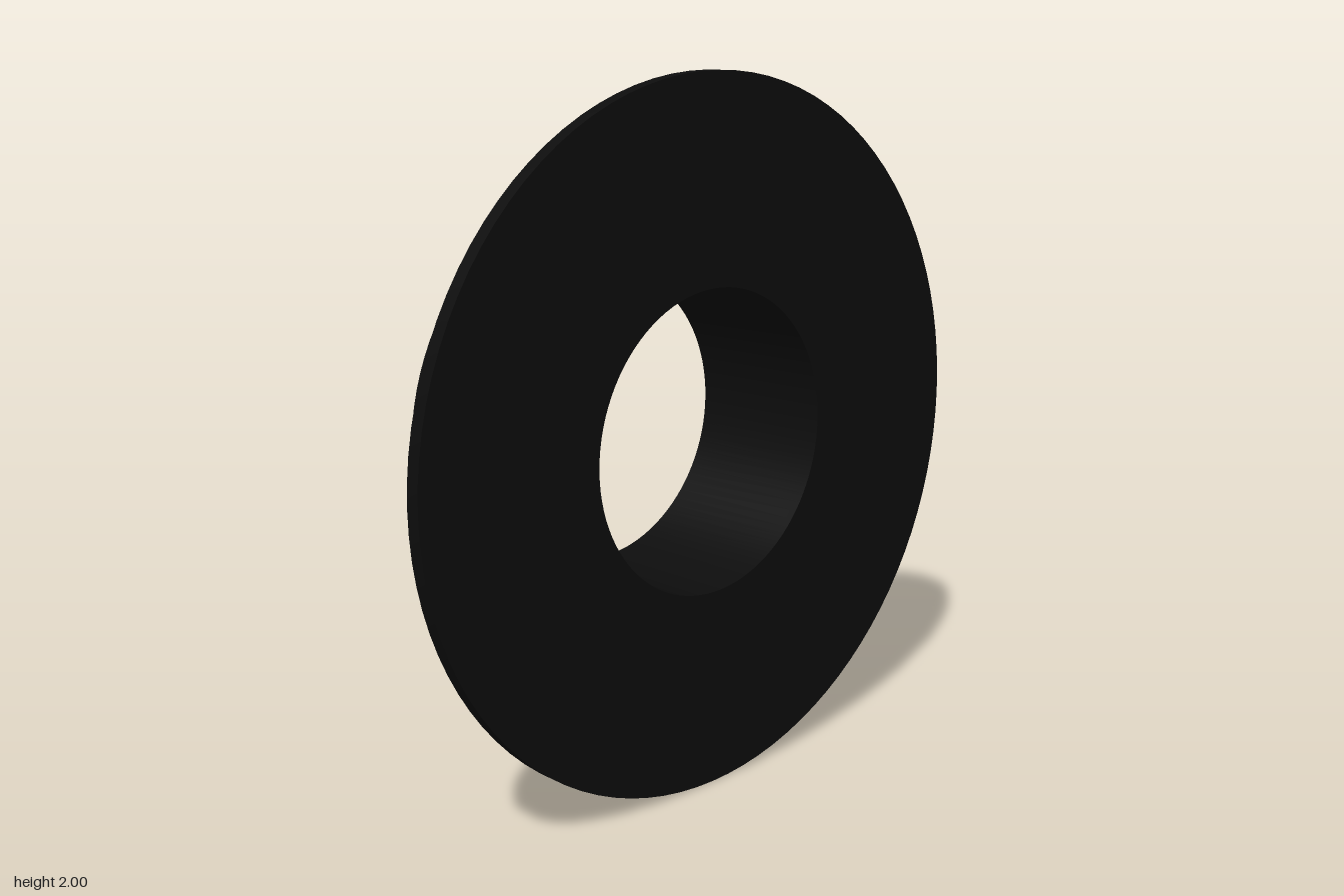
import * as THREE from 'three';
import { toCreasedNormals } from 'three/addons/utils/BufferGeometryUtils.js';

const SEGMENTS = 96;
const BORE = 0.428, BARREL = 0.6, RIM = 0.686, FLANGE = 1;
const FRONT = 0.228, FLANGE_BACK = 0.186, RIM_FRONT = -0.157, BACK = -0.228;

export function createModel() {
  const group = new THREE.Group();
  group.name = 'flangedBushing';
  const black = new THREE.MeshStandardMaterial({ color: 0x0d0d0d });
  black.name = 'black';

  // Revolves a [radius, z] profile around the z axis, keeping its corners sharp
  function addRing(name, profile) {
    const points = profile.map(([r, z]) => new THREE.Vector2(r, z));
    const lathe = new THREE.LatheGeometry(points, SEGMENTS).rotateX(Math.PI / 2);
    const mesh = new THREE.Mesh(toCreasedNormals(lathe, Math.PI / 6), black);
    mesh.name = name;
    mesh.position.y = FLANGE;
    group.add(mesh);
  }

  // Wide thin flange at the front
  addRing('frontFlange', [
    [BARREL, FLANGE_BACK], [FLANGE, FLANGE_BACK], [FLANGE, FRONT], [BORE, FRONT],
  ]);
  // Outer wall between the flange and the rim
  addRing('barrel', [[BARREL, RIM_FRONT], [BARREL, FLANGE_BACK]]);
  // Small thicker rim at the back
  addRing('backRim', [
    [BORE, BACK], [RIM, BACK], [RIM, RIM_FRONT], [BARREL, RIM_FRONT],
  ]);
  // Inner wall of the through hole
  addRing('bore', [[BORE, FRONT], [BORE, BACK]]);

  return group;
}
